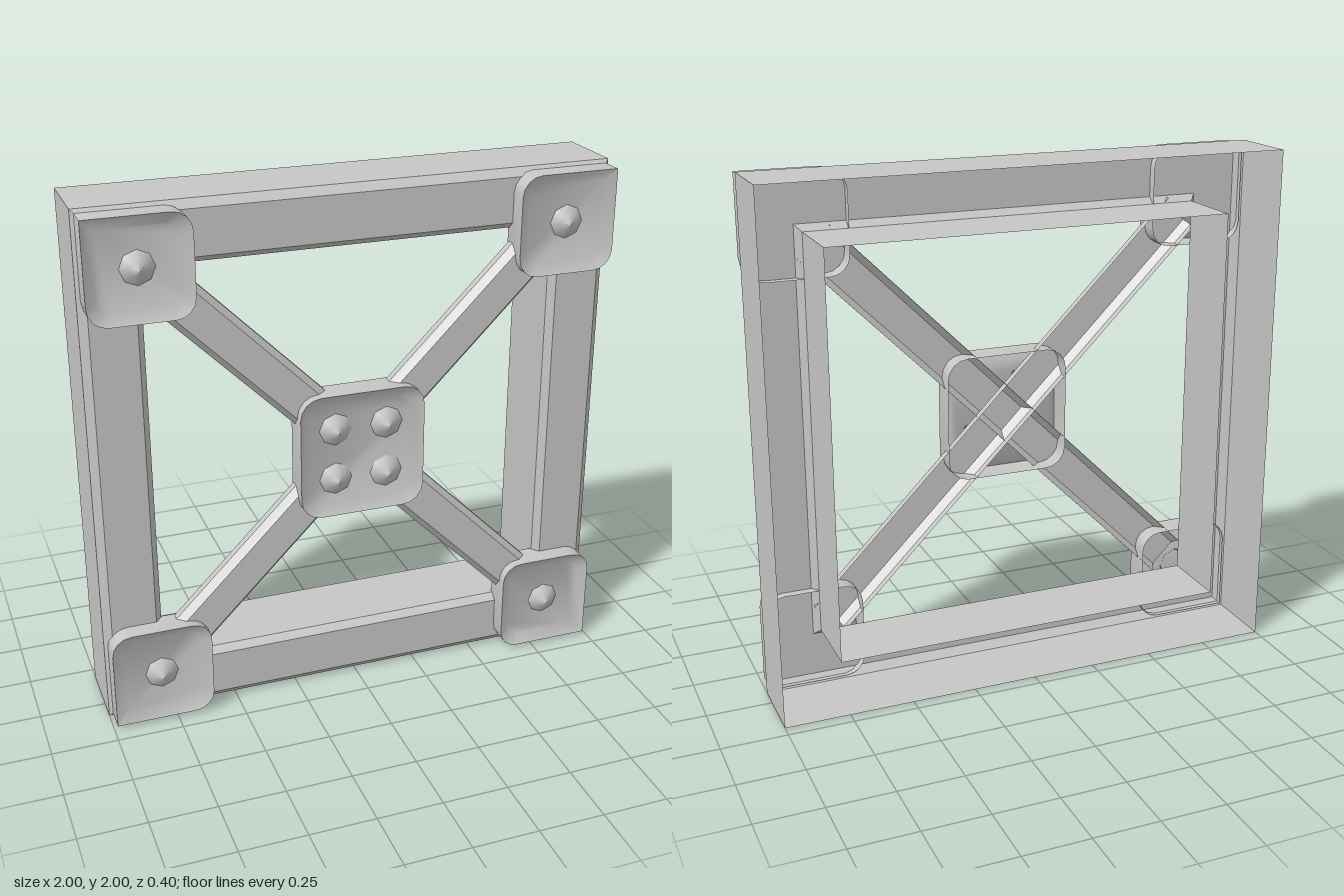
import * as THREE from 'three';
import { toCreasedNormals } from 'three/addons/utils/BufferGeometryUtils.js';

const metal = new THREE.MeshStandardMaterial({ color: 0xc6c6c6, side: THREE.DoubleSide });
metal.name = 'light grey metal';

// Skin a list of point rings; optionally close them round and fill the last one
function loft(rings, closed, cap) {
  const n = rings[0].length;
  const pos = [];
  const tri = (...pts) => pts.forEach((p) => pos.push(...p));
  for (let k = 0; k < rings.length - 1; k++) {
    const a = rings[k], b = rings[k + 1];
    for (let i = 0; i < (closed ? n : n - 1); i++) {
      const j = (i + 1) % n;
      tri(a[i], a[j], b[j]);
      tri(a[i], b[j], b[i]);
    }
  }
  if (cap) {
    const last = rings[rings.length - 1];
    for (let i = 1; i < n - 1; i++) tri(last[0], last[i], last[i + 1]);
  }
  const g = new THREE.BufferGeometry();
  g.setAttribute('position', new THREE.Float32BufferAttribute(pos, 3));
  return toCreasedNormals(g, 0.55);
}

// Square ring, counter-clockwise from the top right corner, one radius per corner
function roundedRing(half, radii, z) {
  const pts = [];
  [[1, 1], [-1, 1], [-1, -1], [1, -1]].forEach(([sx, sy], c) => {
    const r = radii[c];
    for (let s = 0; s <= 4; s++) {
      const a = (c + s / 4) * Math.PI / 2;
      pts.push([sx * (half - r) + r * Math.cos(a), sy * (half - r) + r * Math.sin(a), z]);
    }
  });
  return pts;
}

const squareRing = (h, z) => [[h, h, z], [-h, h, z], [-h, -h, z], [h, -h, z]];

// Open-backed tray with a shallow dished front
function tray(half, radii) {
  const inner = radii.map((r) => Math.max(r - 0.025, 0.001));
  return loft([
    roundedRing(half, radii, 0.075),
    roundedRing(half, radii, 0.183),
    roundedRing(half - 0.042, inner, 0.158),
  ], true, true);
}

export function createModel() {
  const group = new THREE.Group();
  const add = (name, geometry, x = 0, y = 1, z = 0) => {
    const mesh = new THREE.Mesh(geometry, metal);
    mesh.name = name;
    mesh.position.set(x, y, z);
    group.add(mesh);
    return mesh;
  };

  // Square frame: a bevelled channel open at the back
  const profile = [[1, -0.2], [1, 0.083], [0.97, 0.11], [0.8, 0.11], [0.776, 0.083], [0.776, -0.2]];
  add('frame', loft(profile.map(([h, z]) => squareRing(h, z)), true, false));

  // Crossed braces: bevelled channels, also open at the back
  const brace = loft(
    [[-0.083, 0.085], [-0.083, 0.115], [-0.06, 0.145], [0.06, 0.145], [0.083, 0.115], [0.083, 0.085]]
      .map(([y, z]) => [[-1.04, y, z], [1.04, y, z]]), false, false);
  for (const s of [-1, 1]) add('diagonalBrace', brace).rotation.z = s * Math.PI / 4;

  // Low eight-sided rivet head facing forward
  const rivet = new THREE.LatheGeometry(
    [[0.07, 0.15], [0.062, 0.16], [0.035, 0.179], [0, 0.2]].map(([r, y]) => new THREE.Vector2(r, y)), 8);
  rivet.rotateX(Math.PI / 2);

  // Centre hub and corner pads, each with rivets
  add('centreHub', tray(0.243, [0.08, 0.08, 0.08, 0.08]));
  const pad = tray(0.19, [0.002, 0.075, 0.075, 0.075]);
  [[1, 1], [-1, 1], [-1, -1], [1, -1]].forEach(([sx, sy], i) => {
    add('cornerPad', pad, sx * 0.797, 1 + sy * 0.797).rotation.z = i * Math.PI / 2;
    add('padRivet', rivet, sx * 0.8, 1 + sy * 0.8);
    add('hubRivet', rivet, sx * 0.1, 1 + sy * 0.1);
  });
  return group;
}
